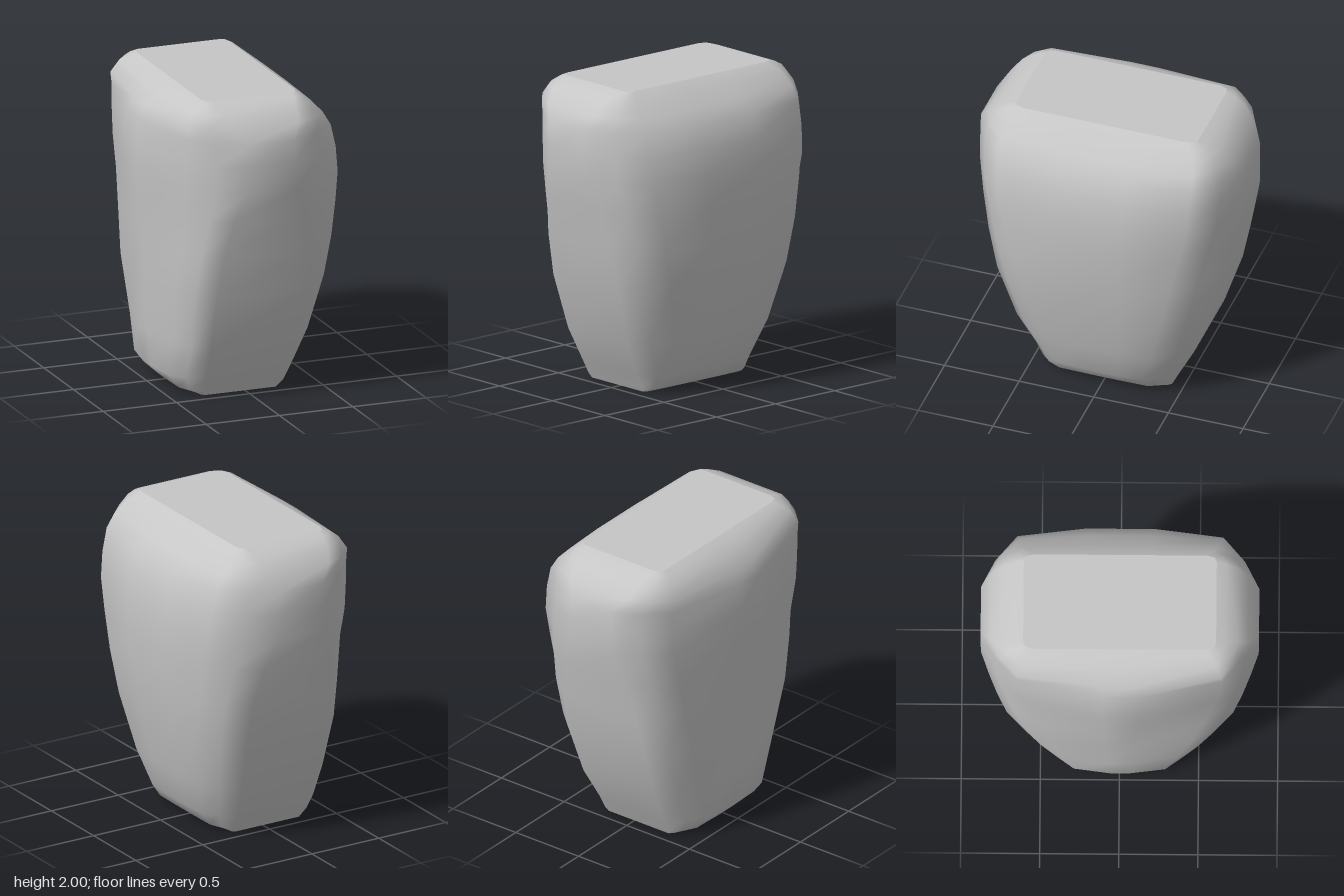
import * as THREE from 'three';

// Cross-sections from bottom to top: y, left reach (-x), right reach (+x), z reach, then as
// fractions of the reach: half width of the front face, corner x, corner z
const SECTIONS = [
  [0.00, 0.30, 0.23, 0.42, 0.90, 1.00, 0.85],
  [0.03, 0.41, 0.32, 0.435, 0.70, 0.99, 0.68],
  [0.12, 0.50, 0.39, 0.48, 0.58, 0.97, 0.60],
  [0.35, 0.52, 0.47, 0.595, 0.58, 0.95, 0.62],
  [0.72, 0.55, 0.55, 0.715, 0.56, 0.95, 0.64],
  [1.00, 0.575, 0.593, 0.775, 0.50, 0.92, 0.68],
  [1.25, 0.595, 0.613, 0.83, 0.40, 0.90, 0.70],
  [1.45, 0.612, 0.613, 0.878, 0.28, 0.89, 0.72],
  [1.62, 0.615, 0.593, 0.88, 0.27, 0.89, 0.73],
  [1.77, 0.595, 0.545, 0.88, 0.27, 0.90, 0.74],
  [1.86, 0.555, 0.465, 0.815, 0.44, 0.94, 0.79],
  [1.94, 0.47, 0.375, 0.75, 0.58, 0.97, 0.82],
  [1.98, 0.40, 0.32, 0.67, 0.74, 0.99, 0.86],
  [2.00, 0.35, 0.285, 0.61, 0.85, 1.00, 0.90],
];

// Four points from the middle of a side round to the front or back face
function quarter([y, left, right, depth, faceX, cornerX, cornerZ], sx, sz) {
  const reach = sx > 0 ? right : left;
  const cx = sx > 0 ? cornerX : 2 * cornerX - 1; // the left corners are cut deeper
  const points = [
    [1, sx > 0 ? 0.25 : 0.12],
    [cx, cornerZ],
    [(cx + faceX) * 0.515, (cornerZ + 1) * 0.515],
    [faceX, 1],
  ];
  return points.map(([px, pz]) => [px * reach * sx, y, pz * depth * sz]);
}

// Closed outline of one section, running from +x towards +z
function outline(section) {
  return [
    ...quarter(section, 1, 1),
    ...quarter(section, -1, 1).reverse(),
    ...quarter(section, -1, -1),
    ...quarter(section, 1, -1).reverse(),
  ];
}

function build(points, indices) {
  const g = new THREE.BufferGeometry();
  g.setAttribute('position', new THREE.Float32BufferAttribute(points.flat(), 3));
  g.setIndex(indices);
  g.computeVertexNormals();
  return g;
}

// Side wall joining all sections
function wallGeometry() {
  const rings = SECTIONS.map(outline);
  const count = rings[0].length;
  const indices = [];
  for (let j = 0; j < rings.length - 1; j++)
    for (let k = 0; k < count; k++) {
      const a = j * count + k, b = j * count + ((k + 1) % count);
      const c = a + count, d = b + count;
      indices.push(a, c, b, b, c, d);
    }
  return build(rings.flat(), indices);
}

// Flat end face
function capGeometry(section, up) {
  const ring = outline(section);
  const indices = [];
  ring.forEach((_, k) => {
    const a = k + 1, b = ((k + 1) % ring.length) + 1;
    indices.push(0, up ? b : a, up ? a : b);
  });
  return build([[0, section[0], 0], ...ring], indices);
}

export function createModel() {
  const stone = new THREE.MeshStandardMaterial({ color: 0xc6c6c6 });
  stone.name = 'stone grey';
  const group = new THREE.Group();
  group.name = 'roundedBlock';
  const add = (name, geometry) => {
    const mesh = new THREE.Mesh(geometry, stone);
    mesh.name = name;
    group.add(mesh);
  };
  add('body', wallGeometry());
  add('topFace', capGeometry(SECTIONS[SECTIONS.length - 1], true));
  add('bottomFace', capGeometry(SECTIONS[0], false));
  return group;
}
